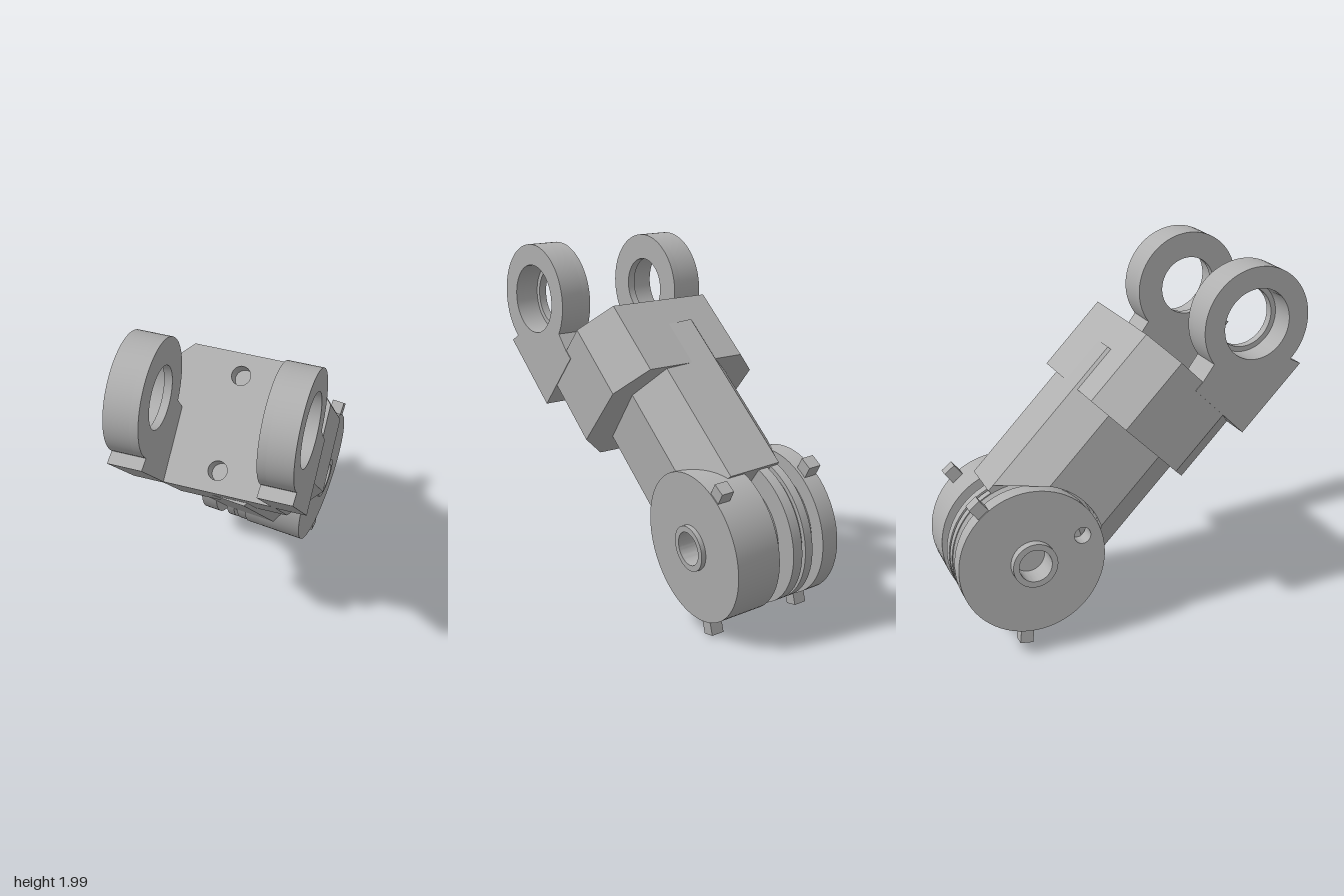
import * as THREE from 'three';
import { toCreasedNormals } from 'three/addons/utils/BufferGeometryUtils.js';

const grey = new THREE.MeshStandardMaterial({ color: 0xb0b0b0 });
grey.name = 'plain grey';

function addMesh(parent, name, geometry) {
  const mesh = new THREE.Mesh(toCreasedNormals(geometry, 0.5), grey);
  mesh.name = name;
  parent.add(mesh);
  return mesh;
}

// outline with round holes, always wound anticlockwise so the hole walls face inwards
function polygon(points, holes = []) {
  const corners = points.map(([x, y]) => new THREE.Vector2(x, y));
  if (THREE.ShapeUtils.isClockWise(corners)) corners.reverse();
  const shape = new THREE.Shape(corners);
  for (const [x, y, r] of holes) {
    shape.holes.push(new THREE.Path().absarc(x, y, r, 0, Math.PI * 2, true));
  }
  return shape;
}

function extrude(shape, depth) {
  return new THREE.ExtrudeGeometry(shape, { depth, bevelEnabled: false, curveSegments: 32 });
}

// plate whose outline lies in (-z, y), spanning x0..x1
function plateX(shape, x0, x1) {
  return extrude(shape, x1 - x0).rotateY(Math.PI / 2).translate(x0, 0, 0);
}

// bar whose section lies in (x, -z), spanning y0..y1
function barY(shape, y0, y1) {
  return extrude(shape, y1 - y0).rotateX(-Math.PI / 2).translate(0, y0, 0);
}

function octagon(xFlat, xMax, zFlat, zMax) {
  return [[xFlat, -zMax], [xMax, -zFlat], [xMax, zFlat], [xFlat, zMax],
    [-xFlat, zMax], [-xMax, zFlat], [-xMax, -zFlat], [-xFlat, -zMax]];
}

function arcPoints(r, from, to, n) {
  return Array.from({ length: n + 1 }, (_, i) => {
    const t = from + (to - from) * i / n;
    return [r * Math.cos(t), r * Math.sin(t)];
  });
}

function disc(r, holes) {
  return polygon(arcPoints(r, 0, Math.PI * 2, 72).slice(0, -1), holes);
}

function buildBracket() {
  const bracket = new THREE.Group();
  bracket.name = 'bracket';

  // chamfered block with two blind screw holes in its end face
  const section = octagon(0.30, 0.46, 0.20, 0.367);
  addMesh(bracket, 'bracketBody', barY(polygon(section), -0.834, -0.5));
  addMesh(bracket, 'bracketEnd',
    barY(polygon(section, [[-0.025, 0.25, 0.05], [-0.025, -0.25, 0.05]]), -0.5, -0.4));

  // two fork lugs, each eye with a narrow inner lip
  const outline = [[0.367, -0.457], [0.367, 0.012],
    ...arcPoints(0.30, -0.03, 4.558, 60), [-0.03, -0.4], [-0.03, -0.457]]
    .map(([z, y]) => [-z, y]);
  for (const [side, name] of [[1, 'leftLug'], [-1, 'rightLug']]) {
    const layers = [['Inner', 0.287, 0.33, 0.16], ['Outer', 0.33, 0.4635, 0.187]];
    for (const [layer, near, far, hole] of layers) {
      const [x0, x1] = side > 0 ? [near, far] : [-far, -near];
      addMesh(bracket, name + layer, plateX(polygon(outline, [[0, 0, hole]]), x0, x1));
    }
  }
  return bracket;
}

// chamfered side of the beam, hollowed at its lower end to clear the wheel
function beamFlank() {
  const clearance = 0.41;
  const pocketY = (z) => Math.sqrt(clearance ** 2 - z ** 2);
  const edge = Array.from({ length: 25 }, (_, i) => -0.37 + 0.74 * i / 24);
  const outline = [...edge.map((z) => [z, pocketY(z)]), [0.37, 1.1], [-0.37, 1.1]];
  const geometry = plateX(polygon(outline), -0.30, -0.15);
  const p = geometry.attributes.position;
  for (let i = 0; i < p.count; i++) {
    if (p.getX(i) > -0.2) continue;
    const z = p.getZ(i) * 0.19 / 0.37;
    p.setZ(i, z);
    if (p.getY(i) < 1) p.setY(i, pocketY(z));
  }
  return geometry;
}

function buildArm() {
  const arm = new THREE.Group();
  arm.name = 'arm';

  // beam, chamfered on both sides
  const section = [[0.15, -0.37], [0.30, -0.19], [0.30, 0.19],
    [0.15, 0.37], [-0.15, 0.37], [-0.15, -0.37]];
  for (const geometry of [barY(polygon(section), 0.14, 1.1), beamFlank()]) {
    addMesh(arm, 'beam', geometry.translate(0, 0, -0.013));
  }

  // joint drum, inner rings, wheel and core
  const bore = [0, 0, 0.088];
  addMesh(arm, 'drum', plateX(disc(0.395, [bore]), 0.06, 0.31));
  addMesh(arm, 'wheel', plateX(disc(0.393, [bore, [-0.123, 0.265, 0.045]]), -0.308, -0.215));
  addMesh(arm, 'wheelHub',
    new THREE.CylinderGeometry(0.30, 0.385, 0.07, 72).rotateZ(Math.PI / 2).translate(-0.185, 0, 0));
  addMesh(arm, 'core', plateX(disc(0.27), -0.17, 0.15));
  addMesh(arm, 'outerRing', plateX(disc(0.39), -0.15, -0.105));
  addMesh(arm, 'ringGroove', plateX(disc(0.365), -0.105, -0.085));
  addMesh(arm, 'innerRing', plateX(disc(0.39), -0.085, -0.03));

  // filler closing the slot on the front side only
  const wedge = [[0, 0], ...arcPoints(0.395, Math.PI * 0.6, Math.PI * 1.3, 30)];
  addMesh(arm, 'slotFiller', plateX(polygon(wedge), -0.03, 0.06));

  // hollow bosses on both outer faces
  for (const [x0, x1] of [[0.305, 0.335], [-0.355, -0.3]]) {
    addMesh(arm, 'boss', plateX(disc(0.12, [bore]), x0, x1));
  }

  // square stop pegs around the rims
  for (const x of [0.27, -0.265]) {
    for (const [y, z] of [[-0.79, 0.61], [0.12, -0.99]]) {
      const peg = addMesh(arm, 'stopPeg', new THREE.BoxGeometry(0.07, 0.14, 0.07));
      peg.position.set(x, y * 0.395, z * 0.395);
      peg.rotation.x = Math.atan2(z, y);
    }
  }

  // the joint is rolled slightly about the beam
  arm.position.set(0, -1.666, 0.015);
  arm.rotation.y = -0.1;
  return arm;
}

export function createModel() {
  const link = new THREE.Group();
  link.name = 'link';
  link.add(buildBracket(), buildArm());

  // lean the whole link: x = hinge axis, y = length, z = underside
  const across = new THREE.Vector3(0.943, -0.05, -0.328).normalize();
  const under = across.clone().cross(new THREE.Vector3(0.268, 0.695, 0.667)).normalize();
  const along = under.clone().cross(across);
  link.quaternion.setFromRotationMatrix(new THREE.Matrix4().makeBasis(across, along, under));
  link.position.set(0.155, 1.667, 0.565);

  const model = new THREE.Group();
  model.name = 'model';
  model.add(link);
  return model;
}
